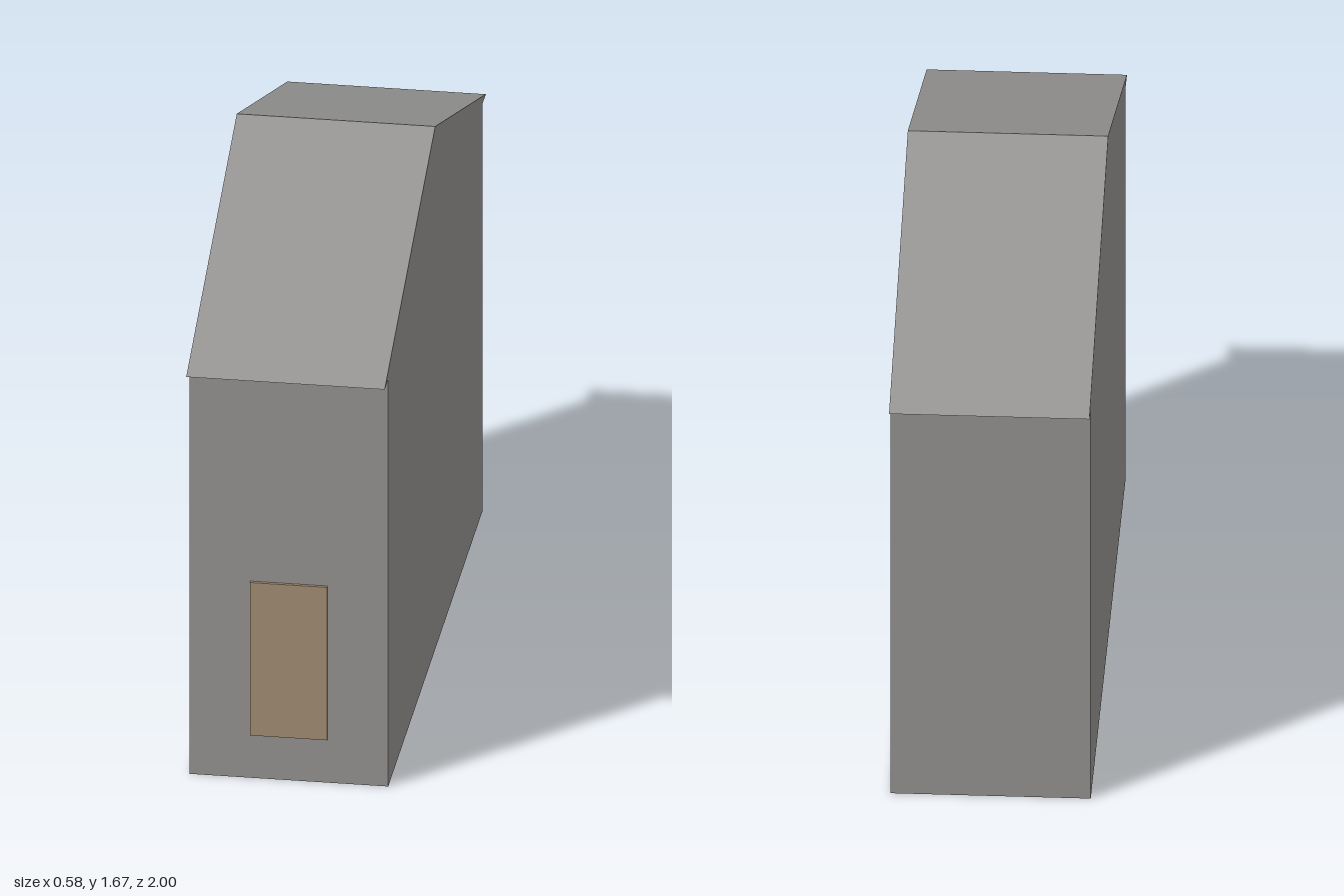
import * as THREE from 'three';

const WIDTH = 0.58;

// Extrudes a (z, y) outline across the width of the building, centred on x = 0
function acrossWidth(points, material, name) {
  const shape = new THREE.Shape(points.map(([z, y]) => new THREE.Vector2(-z, y)));
  const geometry = new THREE.ExtrudeGeometry(shape, { depth: WIDTH, bevelEnabled: false });
  geometry.translate(0, 0, -WIDTH / 2);
  geometry.rotateY(Math.PI / 2);
  const mesh = new THREE.Mesh(geometry, material);
  mesh.name = name;
  return mesh;
}

export function createModel() {
  const stone = new THREE.MeshStandardMaterial({ color: 0x949391 });
  stone.name = 'grey stone';
  const wood = new THREE.MeshStandardMaterial({ color: 0xa28e73 });
  wood.name = 'brown wood';

  const house = new THREE.Group();
  house.name = 'house';

  // Tall narrow body
  const eaves = 1.305, wall = 0.93;
  house.add(acrossWidth([[wall, 0], [-wall, 0], [-wall, eaves], [wall, eaves]], stone, 'walls'));

  // Gable roof overhanging front and back
  house.add(acrossWidth([[1, eaves], [-1, eaves], [0, 1.675]], stone, 'roof'));

  // Thin door panel on the front wall
  const door = new THREE.Mesh(new THREE.BoxGeometry(0.226, 0.49, 0.0095), wood);
  door.name = 'door';
  door.position.set(0, 0.385, wall + 0.00475);
  house.add(door);

  return house;
}
